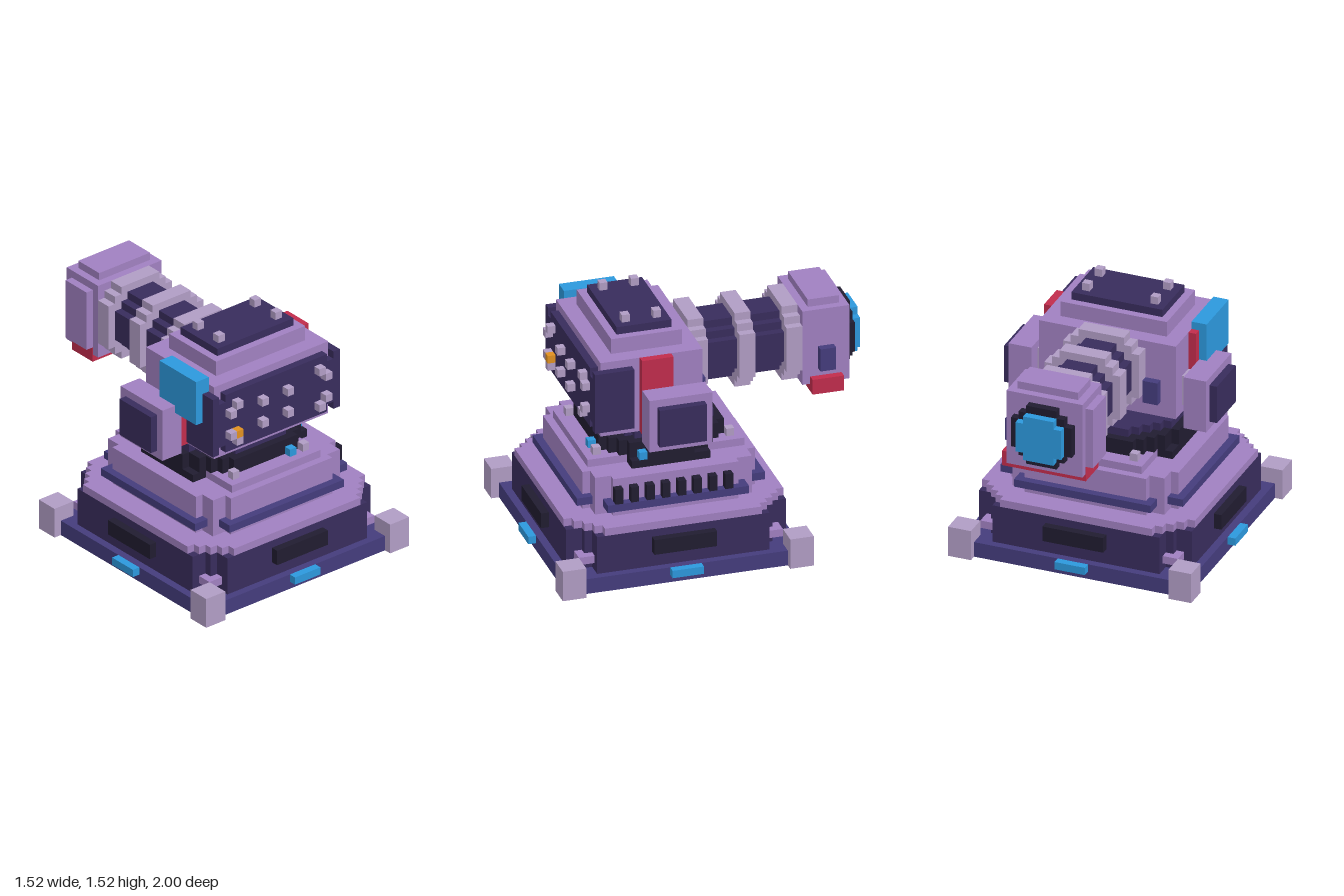
import * as THREE from 'three';

const U = 1 / 21; // one block
const CZ = 5;     // z centre of the base, in blocks

const mat = (color) => new THREE.MeshStandardMaterial({ color, flatShading: true });
const M = {
  lilac: mat(0xa080c0), pale: mat(0xb09cc4), dark: mat(0x382c5c), indigo: mat(0x443c7c),
  black: mat(0x201c30), blue: mat(0x2c98dc), red: mat(0xc02c4c), orange: mat(0xe09020),
};

export function createModel() {
  const model = new THREE.Group();

  // box given by its min and max corners in blocks
  function box(name, m, x0, x1, y0, y1, z0, z1) {
    const g = new THREE.BoxGeometry((x1 - x0) * U, (y1 - y0) * U, (z1 - z0) * U);
    g.translate((x0 + x1) * U / 2, (y0 + y1) * U / 2, (z0 + z1) * U / 2);
    const mesh = new THREE.Mesh(g, M[m]);
    mesh.name = name;
    model.add(mesh);
  }
  // the same box on both sides of x
  function pair(name, m, x0, x1, ...r) {
    box(name + 'Left', m, x0, x1, ...r);
    box(name + 'Right', m, -x1, -x0, ...r);
  }
  // stepped tier lying flat: list of half sizes [x, z]
  const tier = (name, m, y0, y1, steps) =>
    steps.forEach(([a, b]) => box(name, m, -a, a, y0, y1, CZ - b, CZ + b));
  // stepped round section along z, centred on the barrel axis
  const ring = (name, m, z0, z1, steps) =>
    steps.forEach(([a, b]) => box(name, m, -a, a, 24 - b, 24 + b, z0, z1));

  // base plate, feet and corner brackets
  box('basePlate', 'indigo', -15, 15, 0, 2, CZ - 15, CZ + 15);
  for (const [z0, z1] of [[18, 21], [-11, -8]]) pair('foot', 'pale', 13, 16, 0, 4, z0, z1);
  for (const [z0, z1] of [[16, 18], [-8, -6]]) pair('bracket', 'lilac', 11, 13, 3, 4, z0, z1);

  // lower tier with a panel and a lamp on all four sides
  tier('lowerTier', 'dark', 2, 7, [[14, 11], [12, 12], [11, 14]]);
  tier('lowerTierRim', 'lilac', 7, 8, [[14, 10], [13, 11], [12, 12], [11, 13], [10, 14]]);
  for (const [z0, z1] of [[19, 20], [-10, -9]]) box('panel', 'black', -4, 4, 4, 6, z0, z1);
  pair('panel', 'black', 14, 15, 4, 6, 1, 9);
  for (const [z0, z1] of [[20, 21], [-11, -10]]) box('lamp', 'blue', -2, 2, 1, 2, z0, z1);
  pair('lamp', 'blue', 15, 16, 1, 2, 3, 7);

  // middle tier with band and side vents
  tier('middleTier', 'lilac', 8, 13, [[11, 8], [10, 10], [8, 11]]);
  tier('band', 'indigo', 9, 10, [[12, 9], [9, 12]]);
  for (let z = -2; z <= 12; z += 2) box('vent', 'black', 11, 12, 10, 12, z, z + 1);

  // turntable
  box('turntablePlate', 'lilac', -7, 7, 13, 14, CZ - 10, CZ + 10);
  pair('turntableSkirt', 'black', 7, 9, 13, 14, CZ - 5, CZ + 5);
  tier('turntable', 'black', 14, 16, [[9, 3], [8, 5], [7, 6], [6, 7], [5, 8]]);
  tier('turntableTop', 'dark', 16, 17, [[8, 3], [7, 4], [6, 5], [5, 6], [4, 7]]);
  box('neck', 'dark', -2, 2, 17, 18, 3, 7);
  for (const z of [13, -4]) pair('turntableStud', 'pale', 5, 6, 14, 15, z, z + 1);
  box('indicator', 'blue', 3, 4, 14, 15, 13, 14);
  box('indicator', 'blue', 8, 9, 14, 15, 8, 9);

  // head
  box('head', 'lilac', -9, 9, 18, 28, 1, 14);
  box('headTop', 'lilac', -7, 7, 28, 30, 3, 12);
  box('headCap', 'dark', -6, 6, 30, 31, 4, 11);
  for (const z of [5, 9]) pair('capStud', 'pale', 4, 5, 31, 32, z, z + 1);
  pair('stripe', 'red', 9, 10, 18, 28, 5, 9);
  pair('sidePlate', 'dark', 9, 10, 19, 27, 10, 15);
  box('sideShield', 'blue', -11, -9, 27, 29, 6, 13);
  box('sideShield', 'blue', -11, -10, 23, 27, 6, 13);
  pair('rearBox', 'indigo', 5, 7, 20, 23, 0, 1);

  // face plate with studs
  box('facePlate', 'dark', -9, 9, 20, 26, 14, 15);
  box('facePlate', 'dark', -8, 8, 19, 27, 14, 15);
  for (const x of [-8, -3, 1, 7])
    for (const y of [21, 24]) box('faceStud', 'pale', x, x + 1, y, y + 1, 15, 16);
  for (const y of [20, 25]) pair('faceStud', 'pale', 6, 7, y, y + 1, 15, 16);
  box('faceLight', 'orange', -7, -6, 21, 22, 15, 16);

  // side pods
  pair('podAxle', 'pale', 9, 10, 19, 23, 3, 5);
  pair('pod', 'lilac', 10, 13, 17, 24, 1, 9);
  pair('podPlate', 'dark', 13, 14, 18, 23, 2, 8);

  // barrel and its collars
  ring('barrel', 'dark', -11, 1, [[4, 2], [3, 3], [2, 4]]);
  for (const [z0, z1] of [[-1, 1], [-7, -5], [-13, -11]])
    ring('collar', 'pale', z0, z1, [[5, 3], [4, 4], [3, 5]]);

  // muzzle block
  box('muzzle', 'lilac', -5, 5, 19, 29, -19, -13);
  box('muzzleTop', 'lilac', -4, 4, 29, 30, -18, -14);
  box('muzzleSide', 'lilac', -6, -5, 20, 28, -18, -14);
  box('muzzleBase', 'red', -5.02, 6, 18, 20, -18, -14);
  box('muzzleBox', 'indigo', 5, 6, 21, 24, -17, -15);
  ring('lensRim', 'black', -20, -19, [[4, 2], [3, 3], [2, 4]]);
  ring('lens', 'blue', -21, -20, [[3, 2], [2, 3]]);

  return model;
}
